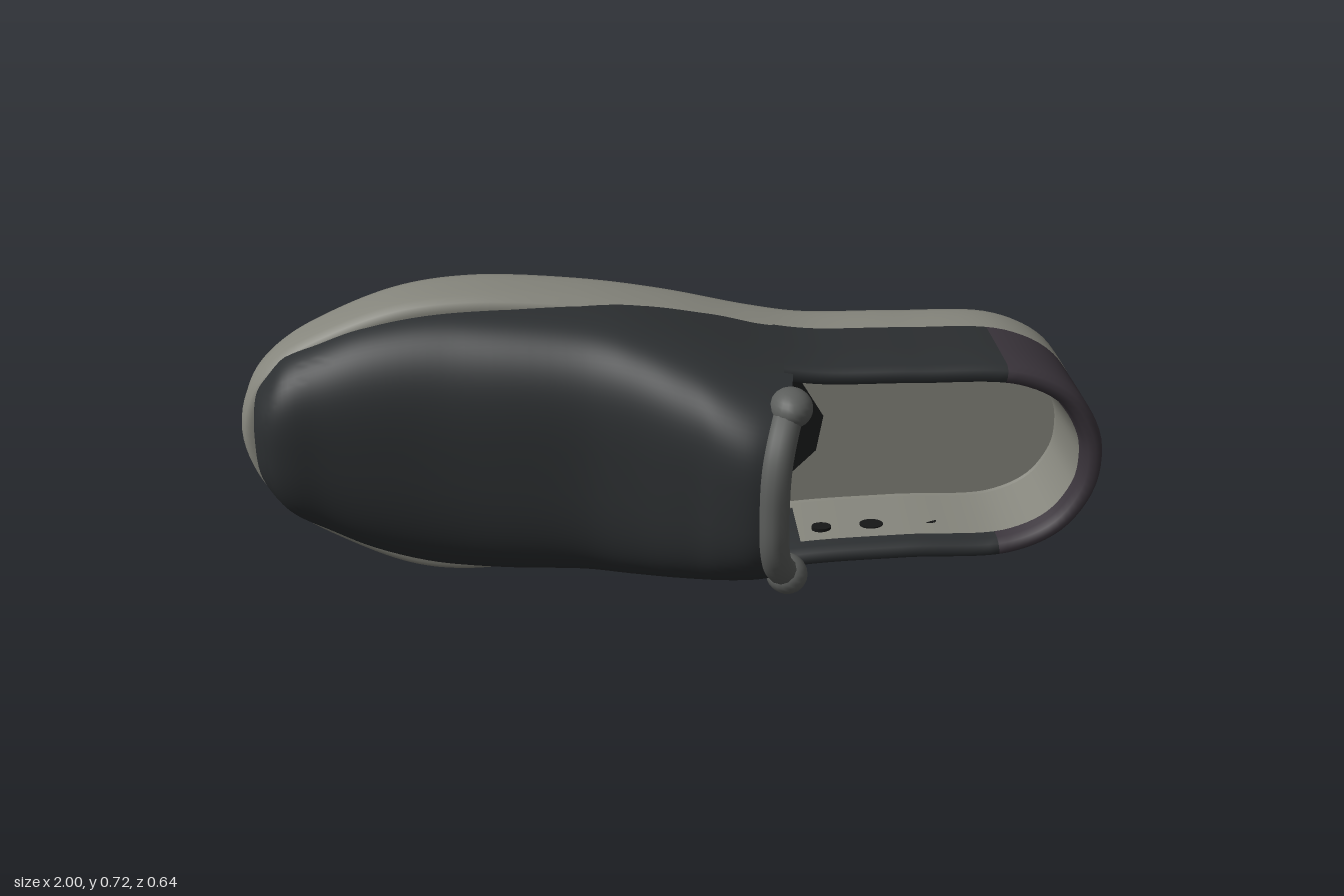
import * as THREE from 'three';
import { toCreasedNormals } from 'three/addons/utils/BufferGeometryUtils.js';

const V = (x, y, z) => new THREE.Vector3(x, y, z);
const mat = (color) => new THREE.MeshStandardMaterial({ color });
const clamp = THREE.MathUtils.clamp;
const FLOOR = -0.145, BASE = -0.17, MID = 0.36;

// Skin over rows of equally many points
function skin(rows, crease = 0.9) {
  const n = rows[0].length, index = [];
  for (let r = 0; r < rows.length - 1; r++) {
    for (let c = 0; c < n - 1; c++) {
      const a = r * n + c, b = a + n;
      index.push(a, b, a + 1, b, b + 1, a + 1);
    }
  }
  const g = new THREE.BufferGeometry().setFromPoints(rows.flat());
  g.setIndex(index);
  return toCreasedNormals(g, crease);
}

// Footprint, running from the toe along the upper edge, round the heel and back
const footprint = new THREE.CatmullRomCurve3([
  [-1, 0.39], [-0.97, 0.5], [-0.9, 0.58], [-0.78, 0.645], [-0.62, 0.7], [-0.45, 0.718],
  [-0.2, 0.703], [0, 0.672], [0.2, 0.627], [0.33, 0.606], [0.55, 0.602], [0.8, 0.59],
  [0.92, 0.53], [0.985, 0.43], [0.998, 0.35], [0.985, 0.27], [0.92, 0.175], [0.8, 0.118],
  [0.55, 0.112], [0.3, 0.1], [0.1, 0.068], [-0.2, 0.03], [-0.48, 0.002], [-0.62, 0.022],
  [-0.78, 0.095], [-0.9, 0.175], [-0.97, 0.27],
].map(([x, y]) => V(x, y, 0)), true);
const N = 200;
const rim = Array.from({ length: N + 1 }, (_, i) => {
  const t = (i % N) / N, p = footprint.getPointAt(t), d = footprint.getTangentAt(t);
  return { x: p.x, y: p.y, nx: -d.y, ny: d.x };
});
const inset = (p, d, z) => V(p.x - p.nx * d, p.y - p.ny * d, z);

// Sole curls up towards the toe underneath
function spring(v) {
  if (v.z < -0.25) v.z += 0.045 * Math.pow(clamp((-0.42 - v.x) / 0.58, 0, 1), 1.3);
  return v;
}
function soleGeometry() {
  const loop = (d, z, s = 1) => rim.map((p) => {
    const v = inset(p, d, z);
    return spring(V(v.x * s, MID + (v.y - MID) * s, z));
  });
  const rows = [0, 0.25, 0.5, 0.75].map((s) => loop(0.05, -0.32, s));
  rows.push(loop(0.05, -0.32), loop(0.024, -0.313), loop(0.008, -0.298), loop(0.001, -0.27),
    loop(0, -0.23), loop(0, -0.18), loop(0.004, -0.15), loop(0.013, -0.128), loop(0.027, -0.118),
    loop(0.055, -0.125), loop(0.062, FLOOR), loop(0.062, FLOOR, 0));
  return skin(rows);
}

// Low wall round the open heel, for one run of the rim
const wallProfile = [[0.001, -0.17], [0, -0.05], [0, 0.06], [0.008, 0.078], [0.02, 0.084],
  [0.036, 0.078], [0.044, 0.06], [0.05, -0.05], [0.055, -0.16]];
const wallGeometry = (pts) => skin(wallProfile.map(([d, z]) => pts.map((p) => inset(p, d, z))));

// Upper stations: x, low edge, high edge, crown height
const stations = [
  [-0.962, 0.34, 0.44, -0.11], [-0.95, 0.28, 0.5, -0.05], [-0.92, 0.228, 0.542, -0.02],
  [-0.88, 0.183, 0.582, -0.005], [-0.8, 0.136, 0.617, 0], [-0.7, 0.086, 0.654, 0.01],
  [-0.55, 0.043, 0.682, 0.025], [-0.4, 0.034, 0.69, 0.05], [-0.2, 0.042, 0.69, 0.09],
  [-0.1, 0.046, 0.684, 0.135], [0, 0.056, 0.669, 0.195], [0.1, 0.071, 0.648, 0.25],
  [0.2, 0.087, 0.625, 0.285], [0.28, 0.1, 0.61, 0.29],
];
function upperRows() {
  const edge = new THREE.CatmullRomCurve3(stations.map(([x, lo, hi]) => V(x, lo, hi)), false, 'centripetal');
  const crown = new THREE.CatmullRomCurve3(stations.map(([x, , , h]) => V(x, h, 0)), false, 'centripetal');
  const rows = [], M = 65, C = 48;
  for (let i = 0; i <= M; i++) {
    const e = edge.getPoint(i / M), h = crown.getPoint(i / M).y;
    const mid = (e.y + e.z) / 2, w = (e.z - e.y) / 2;
    const power = 2 / (2.6 + 0.6 * clamp((e.x + 0.5) / 0.4, 0, 1));
    const pull = 0.07 * clamp((e.x - 0.05) / 0.23, 0, 1);
    const row = [];
    for (let c = 0; c <= C; c++) {
      const a = Math.PI * (1 - c / C), s = Math.max(0, Math.sin(a)), k = Math.cos(a);
      row.push(V(e.x - pull * s * s, mid + Math.sign(k) * w * Math.pow(Math.abs(k), power),
        BASE + (h - BASE) * Math.pow(s, power)));
    }
    rows.push(row);
  }
  return rows;
}

export function createModel() {
  const group = new THREE.Group();
  const add = (name, geometry, material) => {
    const m = new THREE.Mesh(geometry, material);
    m.name = name;
    group.add(m);
    return m;
  };
  const soleMat = mat(0x85857c), upperMat = mat(0x2b2e30), heelMat = mat(0x3a343b);
  const lipMat = mat(0x5c5e5c), darkMat = mat(0x161717);
  for (const m of [upperMat, heelMat, darkMat]) m.side = THREE.DoubleSide;

  add('sole', soleGeometry(), soleMat);

  // Heel wall: dark sides and a tinted counter at the back
  const between = (lo, hi, side) => rim.filter((p) => p.x >= lo && p.x <= hi && (p.y - MID) * side >= 0);
  const counter = rim.filter((p) => p.x > 0.75);
  add('heelCounter', wallGeometry(counter), heelMat);
  add('heelSide', wallGeometry([...between(0.25, 0.75, 1), counter[0]]), upperMat);
  add('heelSide', wallGeometry([counter[counter.length - 1], ...between(0.25, 0.75, -1)]), upperMat);

  // Pale lining on the inside of the heel wall
  const back = rim.filter((p) => p.x > 0.3);
  add('heelLining', skin([[0.049, 0.04], [0.06, -0.15]].map(([d, z]) => back.map((p) => inset(p, d, z)))), soleMat);

  // Upper and its inner surface
  const rows = upperRows();
  add('upper', skin(rows, 1.2), upperMat);
  const inner = rows.slice(24).map((row) => row.map((p) =>
    V(p.x, MID + (p.y - MID) * 0.87, BASE + (p.z - BASE) * 0.9)));
  add('upperLining', skin(inner, 1.2), darkMat);

  // Thick rolled lip across the throat, with a knob at each end
  const lip = rows[rows.length - 1].filter((p) => p.z > 0.15)
    .map((p) => V(p.x, MID + (p.y - MID) * 0.94, p.z - 0.004));
  add('throatLip', new THREE.TubeGeometry(new THREE.CatmullRomCurve3(lip), 48, 0.034, 12), lipMat);
  for (const p of [lip[0], lip[lip.length - 1]]) {
    const knob = add('lipKnob', new THREE.SphereGeometry(0.048, 20, 14), lipMat);
    knob.position.set(p.x, p.y, p.z + 0.022);
    knob.scale.set(1, 0.9, 1.25);
  }

  // Dark patch on the footbed at the mouth of the toe box
  const patch = new THREE.Shape([[0.15, 0.25], [0.3, 0.24], [0.36, 0.3], [0.375, 0.39], [0.32, 0.48], [0.15, 0.5]]
    .map(([x, y]) => new THREE.Vector2(x, y)));
  add('footbedPatch', new THREE.ShapeGeometry(patch), darkMat).position.z = FLOOR + 0.004;

  // Shallow groove line under the sole
  const groove = add('soleGroove', new THREE.CapsuleGeometry(0.018, 1.22, 6, 12), mat(0x5e5a58));
  groove.rotation.z = Math.PI / 2;
  groove.scale.z = 0.12;
  groove.position.set(0.28, MID, -0.319);

  // Small vents along the low side of the heel
  for (const [x, z, r] of [[0.36, -0.01, 0.018], [0.48, -0.015, 0.022], [0.62, -0.02, 0.013]]) {
    const vent = add('vent', new THREE.CylinderGeometry(r, r, 0.06, 16), darkMat);
    vent.position.set(x, 0.134, z);
    vent.scale.x = 1.3;
  }
  return group;
}
